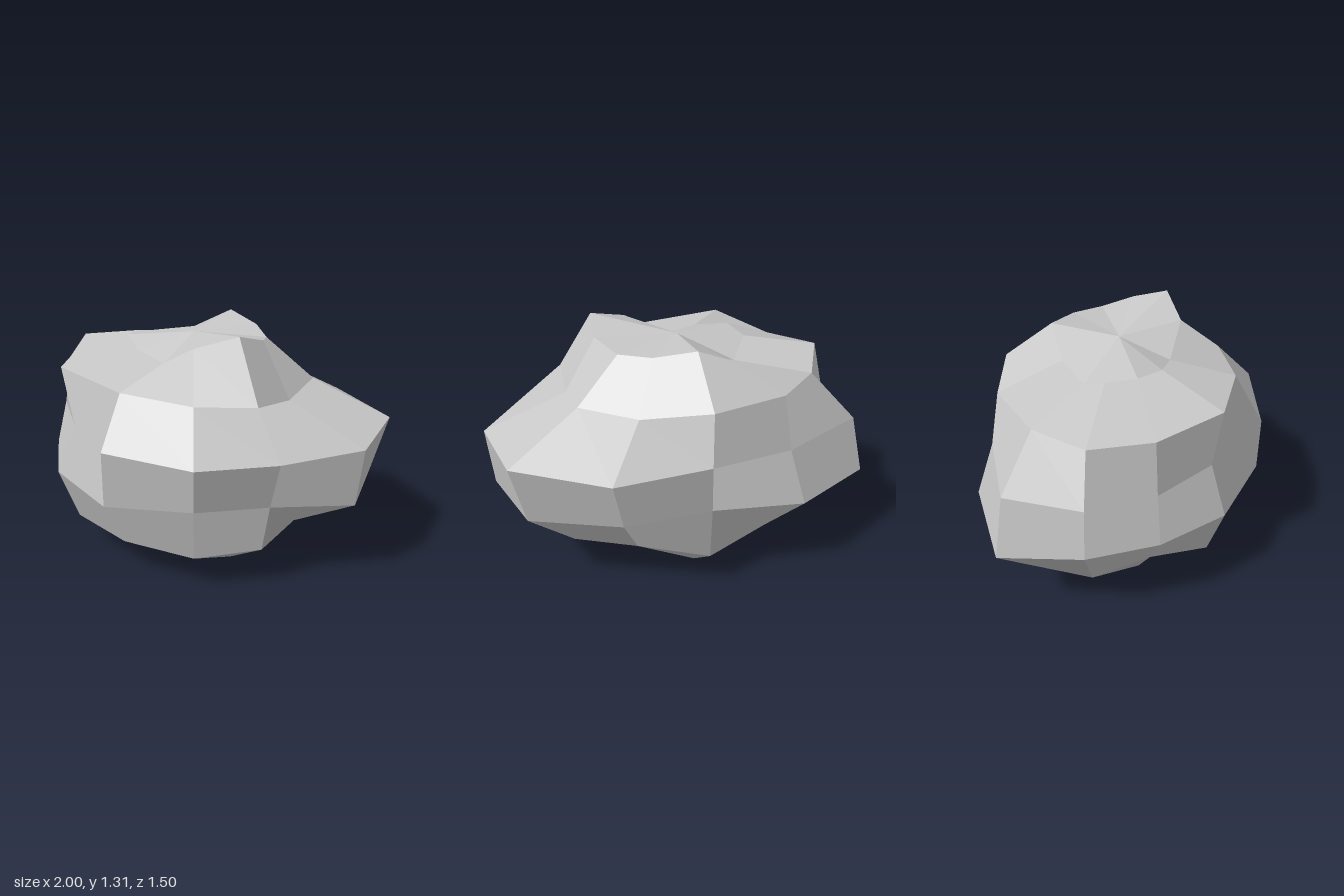
import * as THREE from 'three';

// Distance factors of the rock surface, one row per latitude ring from top to bottom.
// Columns go round from -x through +z, +x and -z in steps of 30 degrees.
const RINGS = [
  [0.88, 0.91, 0.86, 0.79, 1.0, 1.12, 1.02, 0.96, 0.99, 1.05, 0.87, 0.75],
  [1.04, 0.96, 1.1, 1.0, 0.93, 0.87, 0.78, 0.88, 0.83, 1.01, 1.02, 0.97],
  [0.91, 0.82, 0.82, 1.006, 1.02, 0.92, 1.077, 1.16, 1.08, 0.82, 0.885, 1.04],
  [0.935, 0.89, 0.95, 1.005, 0.88, 0.84, 1.045, 1.07, 0.94, 0.83, 1.01, 1.12],
  [0.97, 0.88, 1.03, 1.015, 1.02, 0.965, 0.86, 0.97, 0.91, 1.01, 0.92, 0.82],
  [0.95, 1.05, 0.94, 0.86, 0.94, 1.01, 0.97, 0.81, 0.88, 1.055, 0.95, 0.88],
];
const TOP = 0.88, BOTTOM = 0.8;
const COLUMNS = 12, ROWS = 7;

// One flat normal for each four-sided facet (two triangles) and each pole triangle
function facetNormals(geometry) {
  const p = geometry.attributes.position;
  const normals = new Float32Array(p.count * 3);
  const corner = (i) => new THREE.Vector3().fromBufferAttribute(p, i);
  const triangles = p.count / 3;
  let t = 0;
  while (t < triangles) {
    const size = t < COLUMNS || t >= triangles - COLUMNS ? 1 : 2;
    const normal = new THREE.Vector3();
    for (let k = t; k < t + size; k++) {
      const a = corner(k * 3);
      normal.add(corner(k * 3 + 1).sub(a).cross(corner(k * 3 + 2).sub(a)));
    }
    normal.normalize();
    for (let i = t * 3; i < (t + size) * 3; i++) normal.toArray(normals, i * 3);
    t += size;
  }
  geometry.setAttribute('normal', new THREE.BufferAttribute(normals, 3));
}

export function createModel() {
  const group = new THREE.Group();
  group.name = 'boulder';

  const stone = new THREE.MeshStandardMaterial({ color: 0xc8c8c8 });
  stone.name = 'light grey stone';

  // Coarse sphere, each vertex pushed in or out along its own direction
  const sphere = new THREE.SphereGeometry(1, COLUMNS, ROWS);
  const position = sphere.attributes.position;
  const v = new THREE.Vector3();
  for (let i = 0; i < position.count; i++) {
    const row = Math.floor(i / (COLUMNS + 1));
    const column = (i % (COLUMNS + 1)) % COLUMNS;
    const factor = row === 0 ? TOP : row === ROWS ? BOTTOM : RINGS[row - 1][column];
    v.fromBufferAttribute(position, i).multiplyScalar(factor);
    position.setXYZ(i, v.x, v.y * 0.67, v.z * 0.79);
  }

  // Set off-centre because the lumps are uneven
  sphere.translate(-0.05, 0.64, -0.03);
  const geometry = sphere.toNonIndexed();
  facetNormals(geometry);

  const rock = new THREE.Mesh(geometry, stone);
  rock.name = 'rock';
  group.add(rock);
  return group;
}
